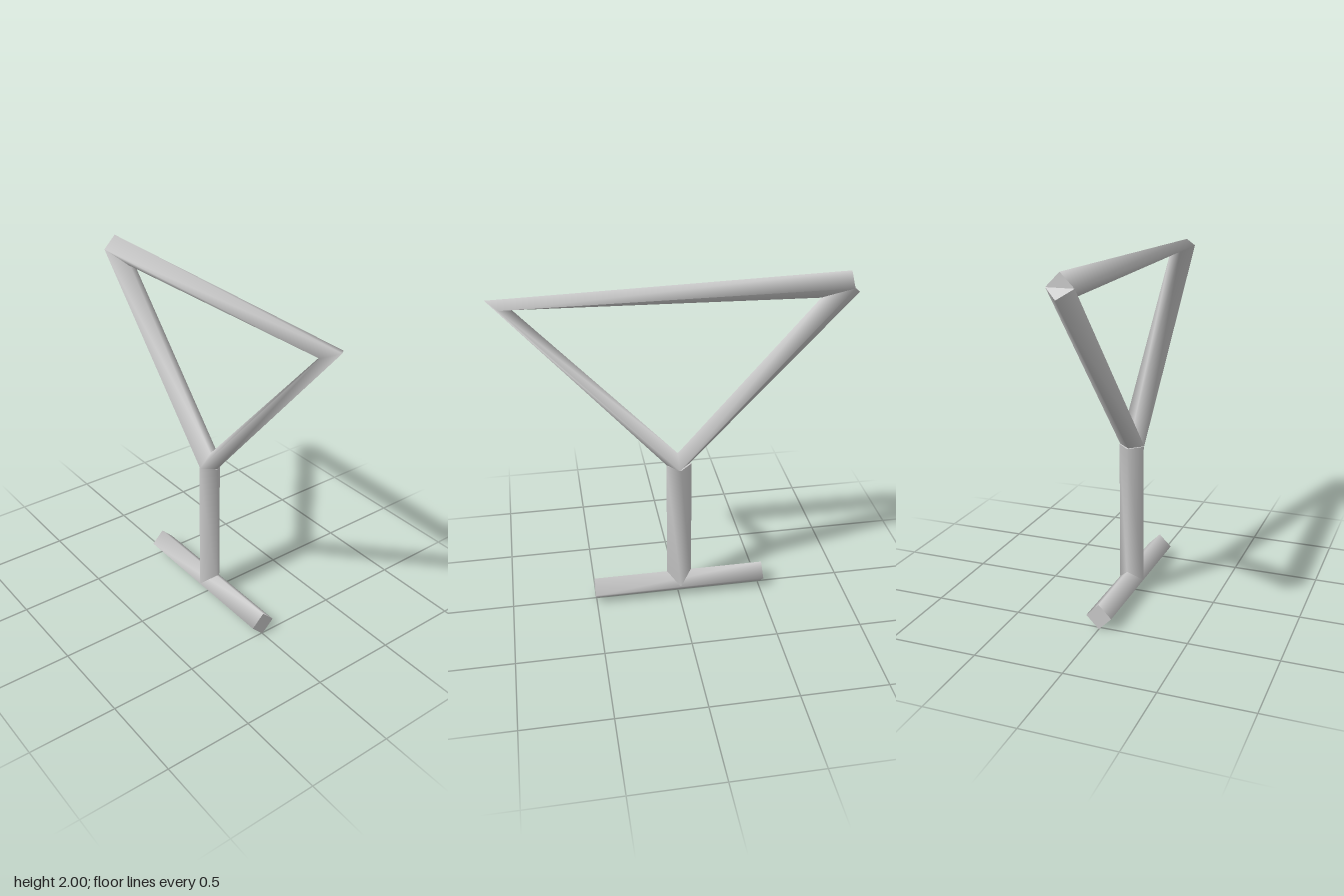
import * as THREE from 'three';

const R = 0.073; // half diagonal of the diamond-section rod

// Sweeps a diamond section along a path in the xy plane, with flat end caps.
function rodGeometry(path) {
  const pts = path.map(([x, y]) => new THREE.Vector2(x, y));
  const dirs = pts.slice(1).map((p, i) => p.clone().sub(pts[i]).normalize());
  const pos = [], idx = [];
  pts.forEach((p, i) => {
    const t = new THREE.Vector2();
    if (i > 0) t.add(dirs[i - 1]);
    if (i < dirs.length) t.add(dirs[i]);
    t.normalize();
    const ux = -t.y * R, uy = t.x * R;
    pos.push(p.x + ux, p.y + uy, 0, p.x, p.y, R, p.x - ux, p.y - uy, 0, p.x, p.y, -R);
  });
  for (let i = 0; i < dirs.length; i++) {
    for (let j = 0; j < 4; j++) {
      const a = i * 4 + j, b = i * 4 + (j + 1) % 4;
      idx.push(a, b, a + 4, b, b + 4, a + 4);
    }
  }
  // Caps get their own corners so their edges stay sharp
  const last = dirs.length * 4;
  for (const ring of [[0, 3, 2, 1], [last, last + 1, last + 2, last + 3]]) {
    const n = pos.length / 3;
    for (const k of ring) pos.push(pos[k * 3], pos[k * 3 + 1], pos[k * 3 + 2]);
    idx.push(n, n + 1, n + 2, n, n + 2, n + 3);
  }
  const g = new THREE.BufferGeometry();
  g.setAttribute('position', new THREE.Float32BufferAttribute(pos, 3));
  g.setIndex(idx);
  g.computeVertexNormals();
  return g;
}

export function createModel() {
  const group = new THREE.Group();
  const grey = new THREE.MeshStandardMaterial({ color: 0xcccccc });
  grey.name = 'light grey';

  const addRod = (name, path) => {
    const mesh = new THREE.Mesh(rodGeometry(path), grey);
    mesh.name = name;
    group.add(mesh);
  };

  // Triangular bowl outline: one rod bent around, both ends meeting top left
  addRod('bowl', [[-0.93, 1.927], [0.914, 1.926], [0, 0.902], [-0.93, 1.927]]);
  // Upright stem, sunk into the foot
  addRod('stem', [[-0.008, 0.08], [-0.008, 0.9]]);
  // Horizontal foot bar
  addRod('foot', [[-0.52, 0.075], [0.505, 0.075]]);

  return group;
}
